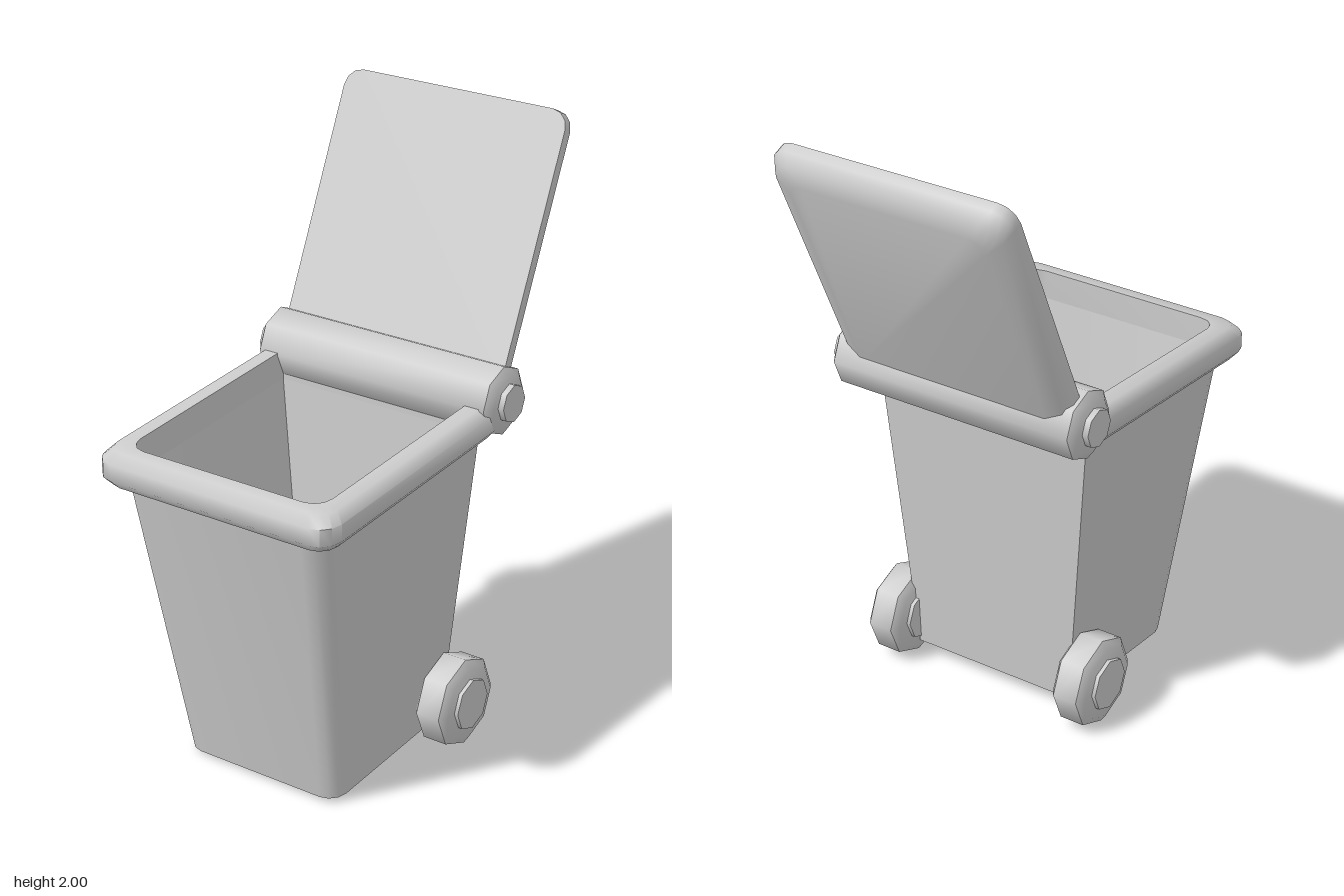
import * as THREE from 'three';
import { toCreasedNormals } from 'three/addons/utils/BufferGeometryUtils.js';

const material = new THREE.MeshStandardMaterial({ color: 0xcccccc });
const SLOPE = -0.07; // the bin leans back, so its levels rise towards the hinge

function part(name, geometry, crease = 0.85) {
  const mesh = new THREE.Mesh(toCreasedNormals(geometry, crease), material);
  mesh.name = name;
  return mesh;
}

// Rectangle with square back corners and rounded front corners
function ring([halfX, back, front, y, r], slope) {
  const pts = [];
  const add = (x, z) => pts.push(new THREE.Vector3(x, y + slope * z, z));
  const steps = 3;
  add(halfX, back);
  for (let i = 0; i <= steps; i++) {
    const a = (i / steps) * Math.PI / 2;
    add(halfX - r + r * Math.cos(a), front - r + r * Math.sin(a));
  }
  for (let i = steps; i >= 0; i--) {
    const a = (i / steps) * Math.PI / 2;
    add(-halfX + r - r * Math.cos(a), front - r + r * Math.sin(a));
  }
  add(-halfX, back);
  return pts;
}

// Skin over a list of rings, with optional flat end caps
function loft(sections, slope, capped) {
  const rings = sections.map(s => ring(s, slope));
  const pts = [];
  for (let k = 0; k < rings.length - 1; k++) {
    const a = rings[k], b = rings[k + 1];
    for (let i = 0; i < a.length; i++) {
      const j = (i + 1) % a.length;
      pts.push(a[i], b[i], b[j], a[i], b[j], a[j]);
    }
  }
  if (capped) {
    const first = rings[0], last = rings[rings.length - 1];
    for (let i = 1; i < first.length - 1; i++) {
      pts.push(first[0], first[i], first[i + 1]);
      pts.push(last[0], last[i + 1], last[i]);
    }
  }
  return new THREE.BufferGeometry().setFromPoints(pts);
}

// Eight-sided turned part along x; profile is [radius, x] pairs
function turned(profile) {
  const pts = profile.map(([r, x]) => new THREE.Vector2(r, x));
  return new THREE.LatheGeometry(pts, 8).rotateZ(-Math.PI / 2);
}

export function createModel() {
  const model = new THREE.Group();
  model.name = 'wheeledBin';

  // Hollow tapered body: outside up, over the edge, inside down to the floor
  model.add(part('body', loft([
    [0.295, -0.135, 0.45, 0.05, 0.06],
    [0.385, -0.19, 0.635, 1.06, 0.08],
    [0.36, -0.17, 0.61, 1.06, 0.06],
    [0.235, -0.11, 0.455, 0.08, 0.05],
  ], SLOPE, true)));

  // Rounded rim around the opening
  model.add(part('rim', loft([
    [0.37, -0.18, 0.62, 1.045, 0.06],
    [0.415, -0.19, 0.66, 1.045, 0.06],
    [0.44, -0.19, 0.685, 1.075, 0.07],
    [0.44, -0.19, 0.685, 1.13, 0.07],
    [0.41, -0.19, 0.655, 1.16, 0.06],
    [0.36, -0.17, 0.61, 1.16, 0.06],
    [0.36, -0.17, 0.61, 1.05, 0.06],
  ], SLOPE, false)));

  // Hinge barrel with a small cap on each end
  const hinge = new THREE.Group();
  hinge.name = 'hinge';
  hinge.position.set(0, 1.165, -0.253);
  hinge.add(part('hingeBarrel', turned([
    [0, -0.45], [0.085, -0.45], [0.114, -0.43], [0.114, 0.43], [0.085, 0.45], [0, 0.45],
  ])));
  hinge.add(part('hingeCaps', turned([
    [0, -0.47], [0.062, -0.47], [0.062, 0.47], [0, 0.47],
  ])));
  model.add(hinge);

  // Open lid, flat inside and softly rounded outside
  const lid = part('lid', loft([
    [0.417, 0, 0.86, 0, 0.06],
    [0.417, 0, 0.86, 0.035, 0.06],
    [0.395, 0, 0.838, 0.072, 0.06],
    [0.34, 0, 0.785, 0.092, 0.05],
  ], 0, true));
  lid.position.set(0, 1.217, -0.257);
  lid.rotation.x = Math.atan2(-0.912, -0.41);
  model.add(lid);

  // Wheels with raised hubs
  for (const side of [1, -1]) {
    const wheel = new THREE.Group();
    wheel.name = side > 0 ? 'leftWheel' : 'rightWheel';
    wheel.position.set(side * 0.362, 0.155, -0.11);
    wheel.add(part('tyre', turned([
      [0, -0.06], [0.125, -0.06], [0.152, -0.042], [0.152, 0.042], [0.125, 0.06], [0, 0.06],
    ])));
    wheel.add(part('hub', turned([
      [0, -0.073], [0.087, -0.073], [0.087, 0.073], [0, 0.073],
    ])));
    model.add(wheel);
  }
  return model;
}
